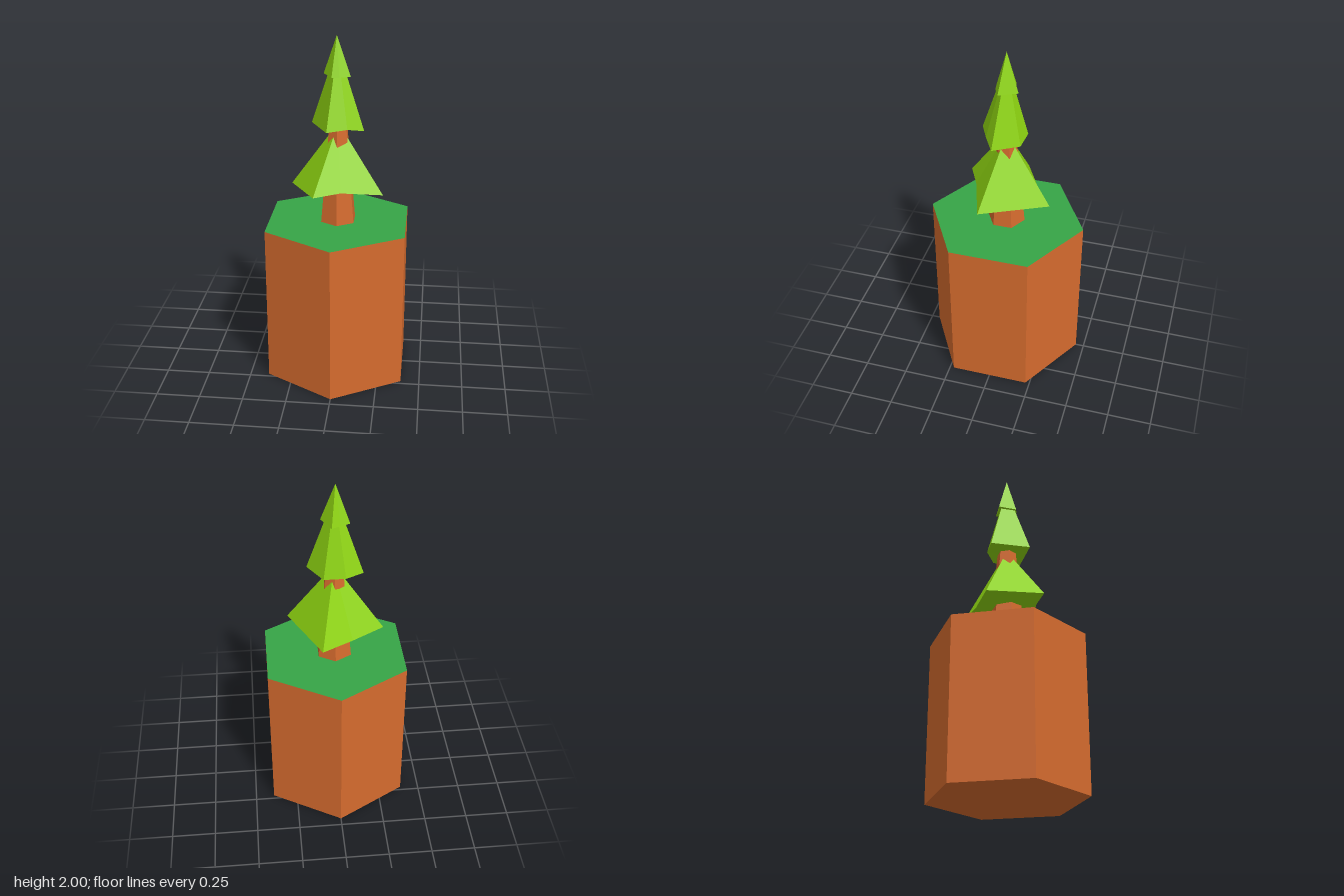
import * as THREE from 'three';

const material = (color) => new THREE.MeshStandardMaterial({ color, flatShading: true });

// Irregular cone of foliage: rim points [x, y, z] run clockwise seen from above
function foliageGeometry(apex, rim) {
  const centre = [0, 0, 0];
  rim.forEach((p) => p.forEach((v, k) => { centre[k] += v / rim.length; }));
  const pos = [];
  rim.forEach((p, i) => {
    const q = rim[(i + 1) % rim.length];
    pos.push(...apex, ...q, ...p);
    pos.push(...centre, ...p, ...q);
  });
  const geometry = new THREE.BufferGeometry();
  geometry.setAttribute('position', new THREE.Float32BufferAttribute(pos, 3));
  geometry.computeVertexNormals();
  return geometry;
}

export function createModel() {
  const group = new THREE.Group();
  const brown = material(0xd56b2e);
  const grass = material(0x36a546);
  const leaf = material(0x8ed411);
  const R = 0.452, H = 0.93;

  const add = (name, geometry, mat, y = 0) => {
    const mesh = new THREE.Mesh(geometry, mat);
    mesh.name = name;
    mesh.position.y = y;
    group.add(mesh);
  };

  // Hexagonal block of earth with a grass top
  const hexagon = (turn) => new THREE.CircleGeometry(R, 6, Math.PI / 2).rotateX(turn);
  add('earthSides', new THREE.CylinderGeometry(R, R, H, 6, 1, true), brown, H / 2);
  add('earthBottom', hexagon(Math.PI / 2), brown);
  add('grassTop', hexagon(-Math.PI / 2), grass, H);

  // Tapering trunk, ending inside the middle tier
  add('trunk', new THREE.CylinderGeometry(0.05, 0.107, 0.62, 6), brown, H + 0.31);

  // Three uneven tiers of foliage
  add('lowerFoliage', foliageGeometry([0, 1.51, 0], [
    [0.085, 1.125, -0.27], [0.26, 1.125, 0.095], [0.03, 1.157, 0.17],
    [-0.115, 1.15, 0.24], [-0.273, 1.12, -0.06], [-0.09, 1.112, -0.16],
  ]), leaf);
  add('middleFoliage', foliageGeometry([-0.004, 1.94, 0], [
    [0.065, 1.48, -0.095], [0.148, 1.48, 0.045], [0.06, 1.502, 0.1],
    [-0.05, 1.497, 0.15], [-0.155, 1.49, -0.06], [-0.055, 1.488, -0.107],
  ]), leaf);
  add('upperFoliage', foliageGeometry([-0.007, 2, 0.002], [
    [0.018, 1.777, -0.07], [0.071, 1.78, 0.03], [0.012, 1.78, 0.058],
    [-0.03, 1.78, 0.065], [-0.083, 1.78, -0.03], [-0.03, 1.777, -0.046],
  ]), leaf);

  return group;
}
